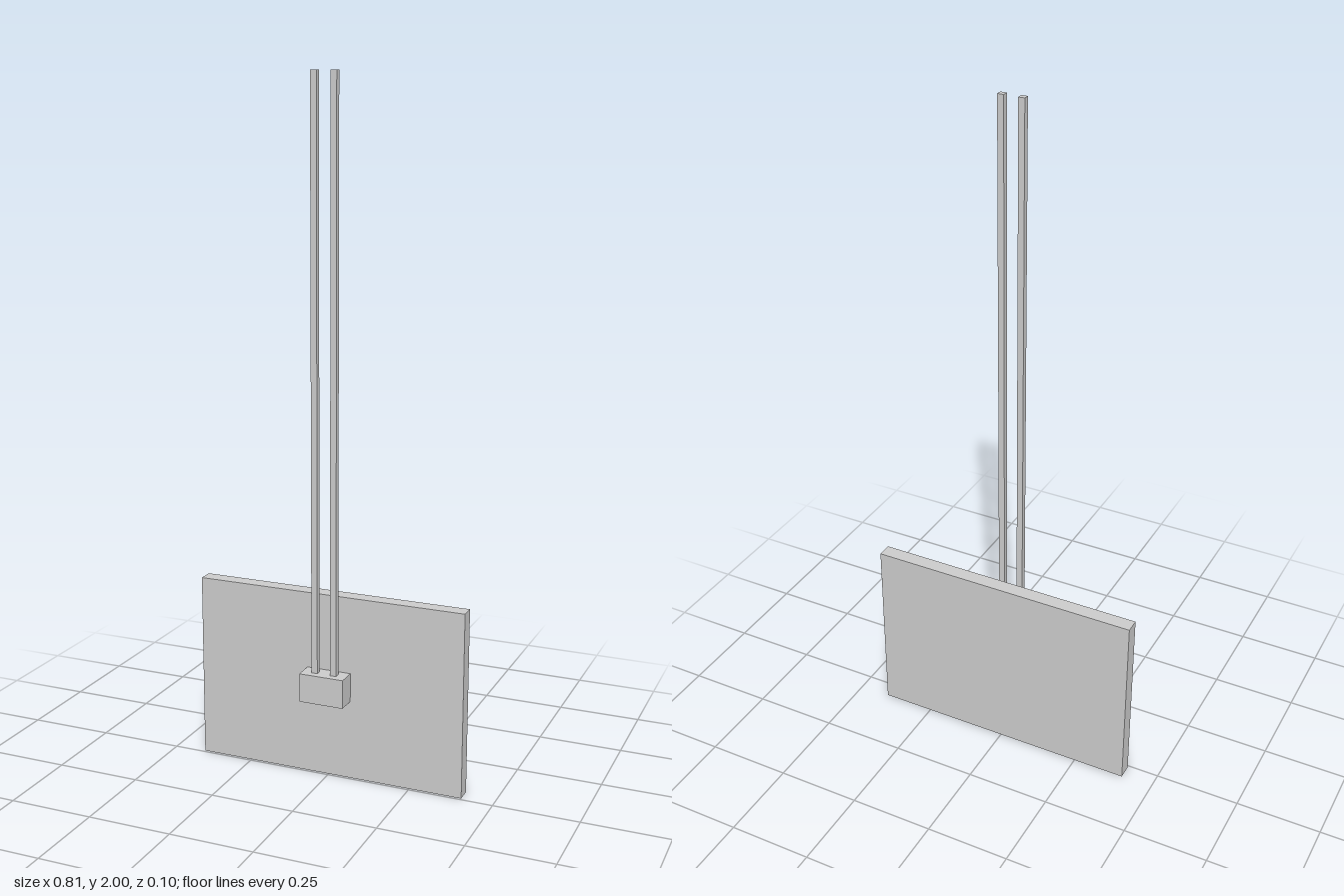
import * as THREE from 'three';

const material = new THREE.MeshStandardMaterial({ color: 0xcccccc, flatShading: true });

// Box given by its lower and upper corners
function block(name, [x0, y0, z0], [x1, y1, z1]) {
  const mesh = new THREE.Mesh(new THREE.BoxGeometry(x1 - x0, y1 - y0, z1 - z0), material);
  mesh.position.set((x0 + x1) / 2, (y0 + y1) / 2, (z0 + z1) / 2);
  mesh.name = name;
  return mesh;
}

export function createModel() {
  const model = new THREE.Group();
  model.name = 'hangingPanel';

  // Flat rectangular panel at the back
  model.add(block('panel', [-0.406, 0, -0.051], [0.406, 0.549, -0.007]));

  // Mounting block on the front face of the panel
  model.add(block('mountBlock', [-0.067, 0.237, -0.007], [0.067, 0.322, 0.051]));

  // Pair of square rods rising from the block
  for (const [name, x] of [['leftRod', 0.029], ['rightRod', -0.029]]) {
    model.add(block(name, [x - 0.009, 0.322, 0.013], [x + 0.009, 2, 0.03]));
  }
  return model;
}
